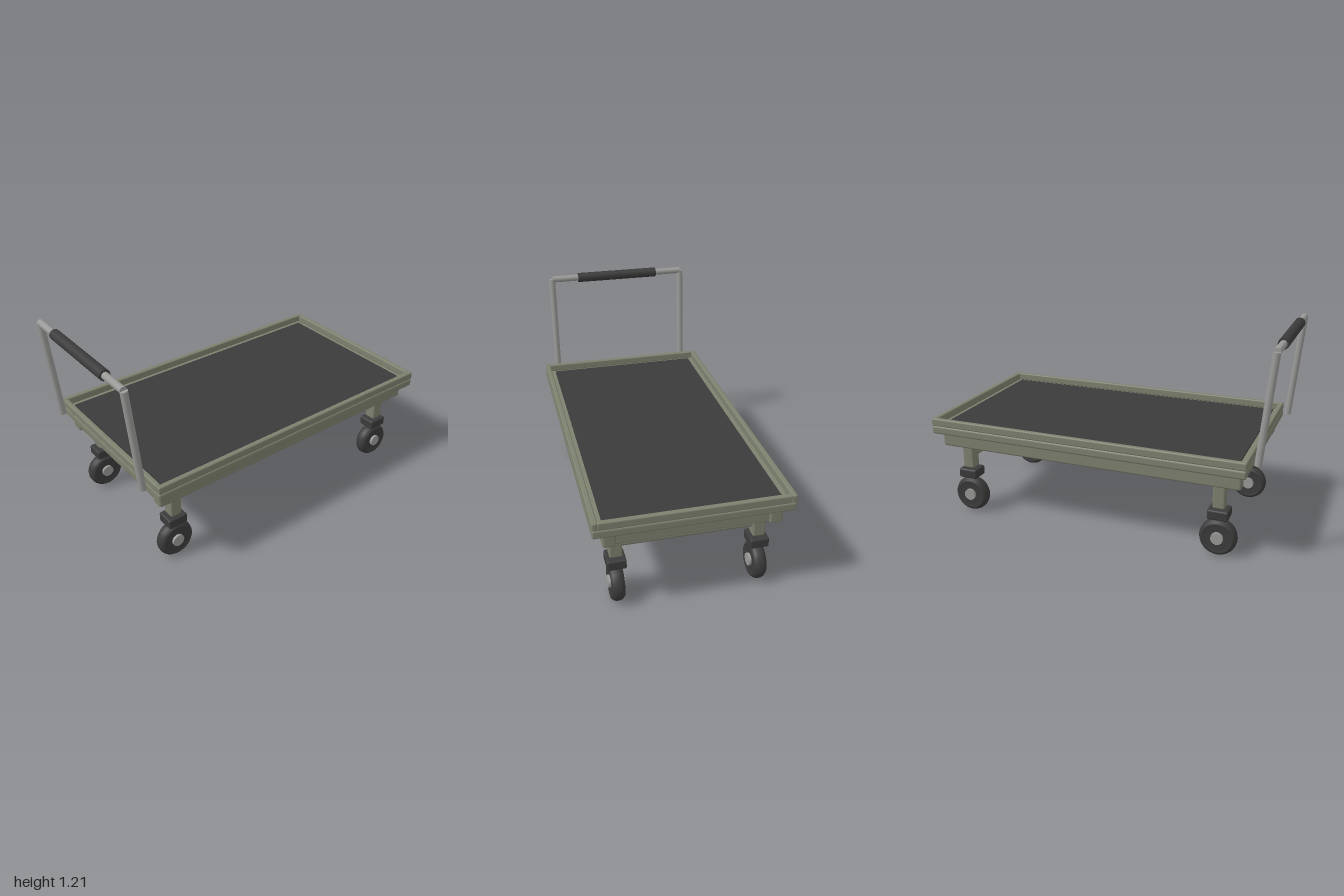
import * as THREE from 'three';
import { RoundedBoxGeometry } from 'three/addons/geometries/RoundedBoxGeometry.js';

const paint = new THREE.MeshStandardMaterial({ color: 0x7d816e });
paint.name = 'olive paint';
const rubber = new THREE.MeshStandardMaterial({ color: 0x3b3b3b });
rubber.name = 'dark rubber';
const steel = new THREE.MeshStandardMaterial({ color: 0x999a97 });
steel.name = 'bare steel';

export function createModel() {
  const cart = new THREE.Group();
  cart.name = 'platformCart';

  function add(name, geometry, material, x = 0, y = 0, z = 0) {
    const mesh = new THREE.Mesh(geometry, material);
    mesh.name = name;
    mesh.position.set(x, y, z);
    cart.add(mesh);
    return mesh;
  }

  // Box with softened edges, centred on the given point
  function block(name, size, at, material = paint, bevel = 0.01) {
    return add(name, new RoundedBoxGeometry(...size, 2, bevel), material, ...at);
  }

  // Round bar between two points
  function bar(name, from, to, radius, material) {
    const a = new THREE.Vector3(...from);
    const b = new THREE.Vector3(...to);
    const dir = b.clone().sub(a);
    const mesh = add(name, new THREE.CylinderGeometry(radius, radius, dir.length(), 20), material);
    mesh.position.copy(a).add(b).multiplyScalar(0.5);
    mesh.quaternion.setFromUnitVectors(new THREE.Vector3(0, 1, 0), dir.normalize());
    return mesh;
  }

  // Deck, rubber mat and raised rim
  const midX = 0.0625;
  block('deck', [1.87, 0.05, 1.056], [midX, 0.543, 0], paint, 0.012);
  add('mat', new THREE.BoxGeometry(1.756, 0.01, 0.936), rubber, midX - 0.003, 0.572, 0);
  for (const s of [-1, 1]) {
    block('sideRim', [1.87, 0.046, 0.03], [midX, 0.589, s * 0.513], paint, 0.008);
    block('endRim', [0.03, 0.046, 1.0], [midX + s * 0.92, 0.589, 0], paint, 0.008);
    // Frame under the deck
    block('sideBeam', [1.8, 0.09, 0.07], [midX, 0.473, s * 0.437], paint, 0.012);
  }
  for (const x of [-0.79, midX, 0.915]) {
    block('crossBeam', [0.07, 0.085, 0.82], [x, 0.476, 0]);
  }

  // Wheel section, revolved about its axle
  const wheelProfile = [
    [0, -0.03], [0.07, -0.03], [0.082, -0.035], [0.09, -0.035], [0.101, -0.024], [0.106, -0.01],
    [0.106, 0.01], [0.101, 0.024], [0.09, 0.035], [0.082, 0.035], [0.07, 0.03], [0, 0.03],
  ].map(([r, y]) => new THREE.Vector2(r, y));
  const wheelGeometry = new THREE.LatheGeometry(wheelProfile, 32).rotateX(Math.PI / 2);
  const hubGeometry = new THREE.CylinderGeometry(0.035, 0.035, 0.09, 20).rotateX(Math.PI / 2);

  // Legs, casters and tie rods
  for (const x of [-0.711, 0.833]) {
    for (const s of [-1, 1]) {
      const z = s * 0.389;
      block('leg', [0.068, 0.145, 0.07], [x, 0.355, z]);
      block('casterBlock', [0.117, 0.057, 0.104], [x, 0.249, z], rubber);
      add('wheel', wheelGeometry, rubber, x, 0.106, z);
      add('hub', hubGeometry, steel, x, 0.108, z);
    }
    bar('tieRod', [x, 0.354, -0.36], [x, 0.354, 0.36], 0.019, paint);
  }

  // Leaning push handle with grip
  for (const s of [-1, 1]) {
    bar('handlePost', [-0.912, 0.572, s * 0.437], [-0.97, 1.176, s * 0.437], 0.02, steel);
  }
  bar('handleBar', [-0.97, 1.176, -0.435], [-0.97, 1.176, 0.435], 0.02, steel);
  bar('grip', [-0.97, 1.176, -0.264], [-0.97, 1.176, 0.264], 0.03, rubber);

  return cart;
}
